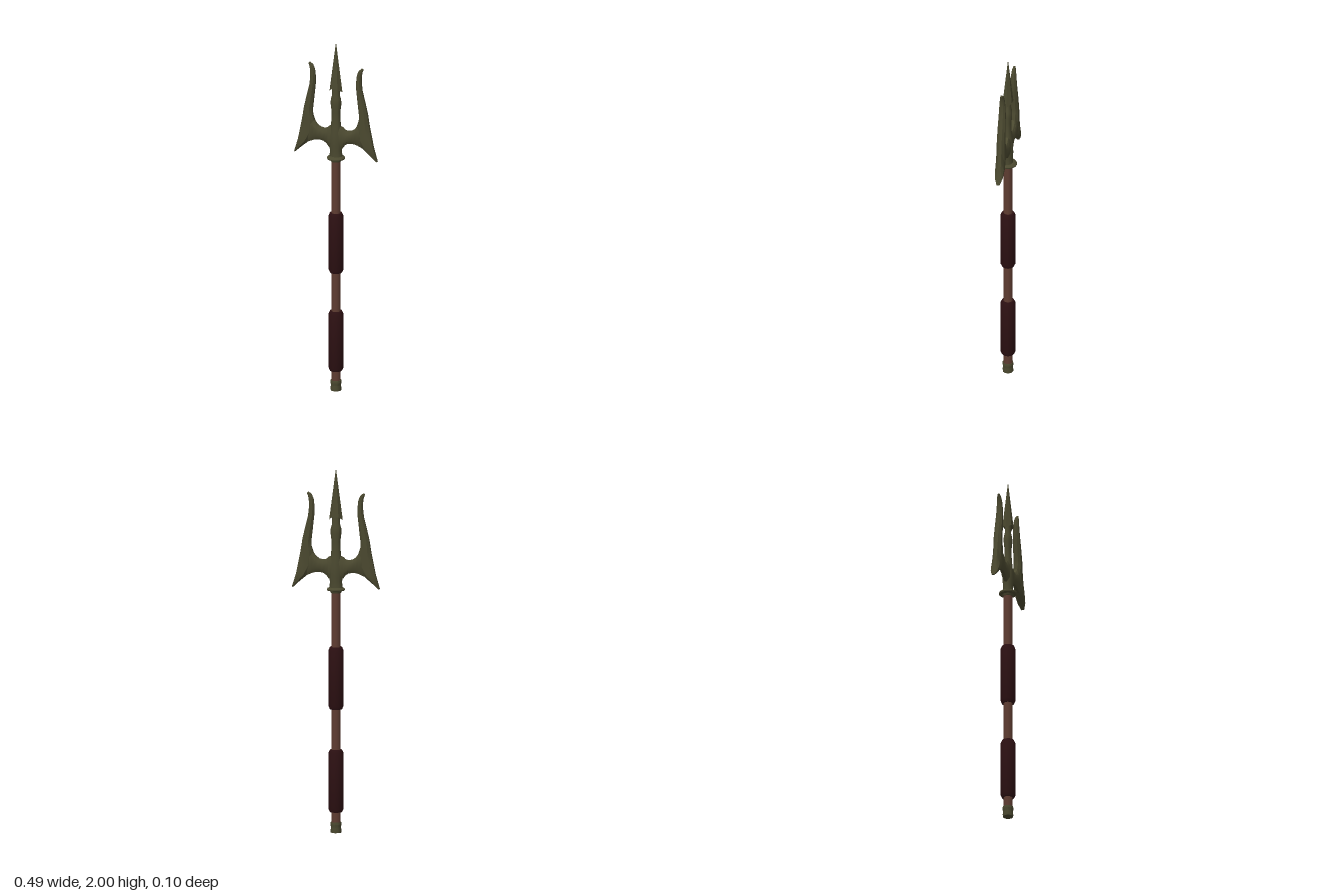
import * as THREE from 'three';
import { toCreasedNormals } from 'three/addons/utils/BufferGeometryUtils.js';

const material = (name, color) => Object.assign(new THREE.MeshStandardMaterial({ color }), { name });

// Blade lofted through sections [ax, ay, bx, by, halfThickness], with bevelled edges
function blade(sections) {
  const ring = [[0, 0.4], [0.26, 1], [0.74, 1], [1, 0.4], [1, -0.4], [0.74, -1], [0.26, -1], [0, -0.4]];
  const n = ring.length, pos = [], idx = [];
  for (const [ax, ay, bx, by, t] of sections)
    for (const [u, w] of ring) pos.push(ax + (bx - ax) * u, ay + (by - ay) * u, w * t);
  for (let s = 0; s < sections.length - 1; s++)
    for (let i = 0; i < n; i++) {
      const a = s * n + i, b = s * n + (i + 1) % n;
      idx.push(a, b, b + n, a, b + n, a + n);
    }
  const last = (sections.length - 1) * n;
  for (let i = 1; i < n - 1; i++) {
    idx.push(0, i + 1, i);
    idx.push(last, last + i, last + i + 1);
  }
  const g = new THREE.BufferGeometry();
  g.setAttribute('position', new THREE.Float32BufferAttribute(pos, 3));
  g.setIndex(idx);
  return toCreasedNormals(g, 0.6);
}

const lathe = (profile, sides, crease = 0.7) => toCreasedNormals(
  new THREE.LatheGeometry(profile.map(([r, y]) => new THREE.Vector2(r, y)), sides), crease);

export function createModel() {
  const model = new THREE.Group();
  model.name = 'trident';
  const bronze = material('dark bronze', 0x4a482f);
  const wood = material('brown wood', 0x5e3c31);
  const leather = material('dark leather', 0x2c1012);
  bronze.side = THREE.DoubleSide;
  const add = (name, geometry, mat) => {
    const m = new THREE.Mesh(geometry, mat);
    m.name = name;
    model.add(m);
    return m;
  };

  // Pole, grips and end cap
  add('pole', lathe([[0, 0.02], [0.025, 0.02], [0.025, 1.34], [0, 1.34]], 14), wood);
  for (const [name, y] of [['lowerGrip', 0.113], ['upperGrip', 0.678]])
    add(name, lathe([[0.024, y], [0.033, y], [0.041, y + 0.018], [0.041, y + 0.325],
      [0.033, y + 0.343], [0.024, y + 0.343]], 14), leather);
  add('endCap', lathe([[0, 0], [0.029, 0], [0.03, 0.012], [0.027, 0.03], [0.031, 0.046],
    [0.029, 0.058], [0, 0.058]], 10), bronze);

  // Collar under the head
  add('collar', lathe([[0, 1.318], [0.028, 1.318], [0.032, 1.328], [0.048, 1.332], [0.05, 1.338],
    [0.046, 1.344], [0.034, 1.348], [0, 1.348]], 20), bronze);

  // Central stem, flattened front to back
  const stem = lathe([[0, 1.343], [0.036, 1.343], [0.034, 1.38], [0.038, 1.41], [0.036, 1.47], [0.03, 1.51],
    [0.026, 1.55], [0.024, 1.6], [0.03, 1.645], [0.029, 1.675], [0.021, 1.7], [0.021, 1.77], [0, 1.77]], 10);
  stem.scale(1, 1, 0.78);
  add('stem', stem, bronze);

  // Arrowhead: six-sided cone whose base corners drop into side barbs
  const tip = new THREE.CylinderGeometry(0.0005, 0.038, 0.25, 6, 1, false, Math.PI / 2);
  tip.translate(0, 1.875, 0);
  const p = tip.attributes.position;
  for (let i = 0; i < p.count; i++)
    if (p.getY(i) < 1.8) p.setY(i, 1.755 - Math.abs(p.getX(i)) * 0.95);
  tip.scale(1, 1, 0.78);
  add('arrowhead', toCreasedNormals(tip, 0.3), bronze);

  // Curved crossbar
  const half = [[0.04, 1.398, 1.515, 0.021], [0.052, 1.415, 1.503, 0.02], [0.07, 1.427, 1.499, 0.019],
    [0.092, 1.431, 1.503, 0.019], [0.112, 1.43, 1.517, 0.02], [0.13, 1.425, 1.543, 0.021], [0.165, 1.41, 1.56, 0.021]];
  const sect = (s, [x, lo, hi, t]) => [s * x, hi, s * x, lo, t];
  const bar = [...half].reverse().map(h => sect(-1, h));
  bar.push([0, 1.53, 0, 1.38, 0.021], ...half.map(h => sect(1, h)));
  add('crossbar', blade(bar.reverse().map(([ax, ay, bx, by, t]) => [bx, by, ax, ay, t]).reverse()), bronze);

  // Side prongs, each running from a lower barb up to a hooked point
  const prong = [[0.238, 1.343, 0.244, 1.347, 0.008], [0.207, 1.372, 0.233, 1.378, 0.02],
    [0.162, 1.41, 0.219, 1.425, 0.024], [0.13, 1.46, 0.209, 1.475, 0.023], [0.125, 1.535, 0.198, 1.53, 0.022],
    [0.137, 1.57, 0.191, 1.57, 0.022], [0.138, 1.6, 0.185, 1.61, 0.021], [0.131, 1.66, 0.171, 1.67, 0.02],
    [0.122, 1.74, 0.154, 1.74, 0.018], [0.12, 1.785, 0.149, 1.785, 0.016], [0.125, 1.83, 0.15, 1.82, 0.013],
    [0.135, 1.856, 0.154, 1.845, 0.01], [0.152, 1.87, 0.162, 1.863, 0.005]];
  add('leftProng', blade(prong.map(([ax, ay, bx, by, t]) => [bx, by, ax, ay, t])), bronze);
  add('rightProng', blade(prong.map(([ax, ay, bx, by, t]) => [-ax, ay, -bx, by, t])), bronze);

  // Orient blade faces outward
  for (const m of model.children) {
    if (!/Prong|crossbar/.test(m.name)) continue;
    const q = m.geometry.attributes.position, a = new THREE.Vector3(), b = new THREE.Vector3(), c = new THREE.Vector3();
    let volume = 0;
    for (let i = 0; i < q.count; i += 3)
      volume += a.fromBufferAttribute(q, i).dot(b.fromBufferAttribute(q, i + 1).cross(c.fromBufferAttribute(q, i + 2)));
    if (volume < 0) {
      const arr = q.array;
      for (let i = 0; i < arr.length; i += 9)
        for (let k = 0; k < 3; k++) [arr[i + 3 + k], arr[i + 6 + k]] = [arr[i + 6 + k], arr[i + 3 + k]];
      m.geometry = toCreasedNormals(m.geometry, 0.6);
    }
  }
  return model;
}
